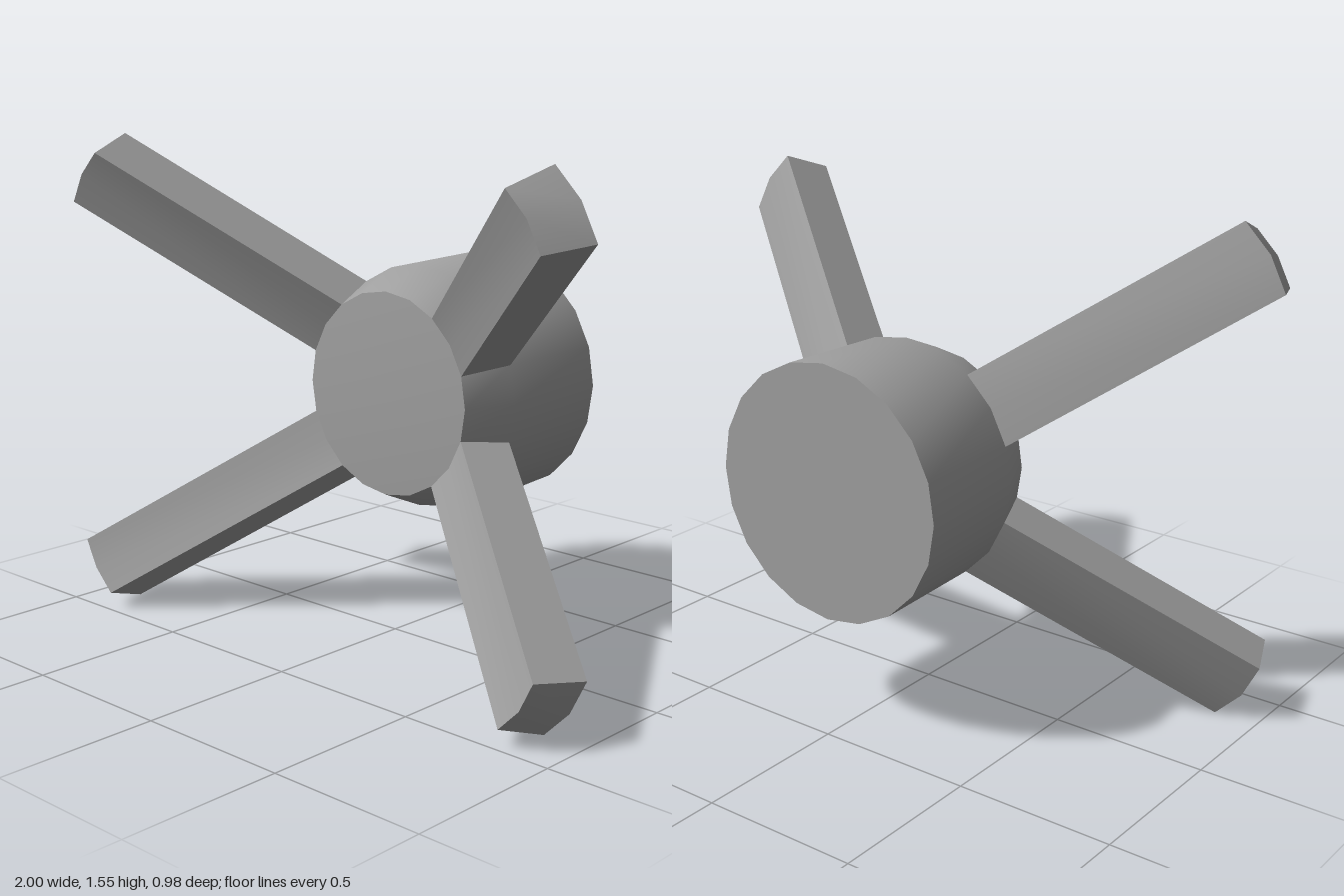
import * as THREE from 'three';
import { toCreasedNormals } from 'three/addons/utils/BufferGeometryUtils.js';

const SIDES = 20;
const STEP = (Math.PI * 2) / SIDES;
const CREASE = Math.PI / 6;
const CENTRE_Y = 0.773;

// hub rings that bound the bevel the arms grow from
const BACK_RING = { r: 0.385, z: -0.11 };
const FRONT_RING = { r: 0.32, z: 0.043 };

// Hub: a slightly tapered drum with a bevel and a shallow domed front
function hubGeometry() {
  const profile = [
    [0, -0.49], [0.395, -0.49],
    [BACK_RING.r, BACK_RING.z], [FRONT_RING.r, FRONT_RING.z],
    [0, 0.062],
  ].map(([r, z]) => new THREE.Vector2(r, z));
  const g = new THREE.LatheGeometry(profile, SIDES);
  g.rotateX(Math.PI / 2);
  return toCreasedNormals(g, CREASE);
}

// Arm: two bevel facets of the hub pushed outwards and forwards along +x, +z
function armGeometry() {
  const reach = 0.785, rise = 0.447;
  const section = [
    [BACK_RING, -1], [BACK_RING, 0], [BACK_RING, 1],
    [FRONT_RING, 1], [FRONT_RING, 0], [FRONT_RING, -1],
  ].map(([ring, k]) => new THREE.Vector3(
    ring.r * Math.cos(k * STEP), ring.r * Math.sin(k * STEP), ring.z));
  const n = section.length;
  const offset = new THREE.Vector3(reach, 0, rise);
  const points = [...section, ...section.map((p) => p.clone().add(offset))];

  const index = [];
  for (let i = 0; i < n; i++) {
    const j = (i + 1) % n;
    index.push(i, j, n + j, i, n + j, n + i);
  }
  // bulged end, one quad per facet
  for (const [a, b, c, d] of [[0, 1, 4, 5], [1, 2, 3, 4]]) {
    index.push(n + a, n + b, n + c, n + a, n + c, n + d);
  }
  const g = new THREE.BufferGeometry().setFromPoints(points);
  g.setIndex(index);
  return toCreasedNormals(g, CREASE);
}

export function createModel() {
  const grey = new THREE.MeshStandardMaterial({ color: 0xa0a0a0 });
  grey.name = 'grey';

  const model = new THREE.Group();
  model.name = 'fourArmedHub';

  const hub = new THREE.Mesh(hubGeometry(), grey);
  hub.name = 'hub';
  hub.position.y = CENTRE_Y;
  model.add(hub);

  // arms sit two facets away from the horizontal on each side
  const arm = armGeometry();
  const angles = {
    upperLeftArm: 2 * STEP,
    upperRightArm: Math.PI - 2 * STEP,
    lowerRightArm: Math.PI + 2 * STEP,
    lowerLeftArm: -2 * STEP,
  };
  for (const [name, angle] of Object.entries(angles)) {
    const mesh = new THREE.Mesh(arm, grey);
    mesh.name = name;
    mesh.position.y = CENTRE_Y;
    mesh.rotation.z = angle;
    model.add(mesh);
  }
  return model;
}
